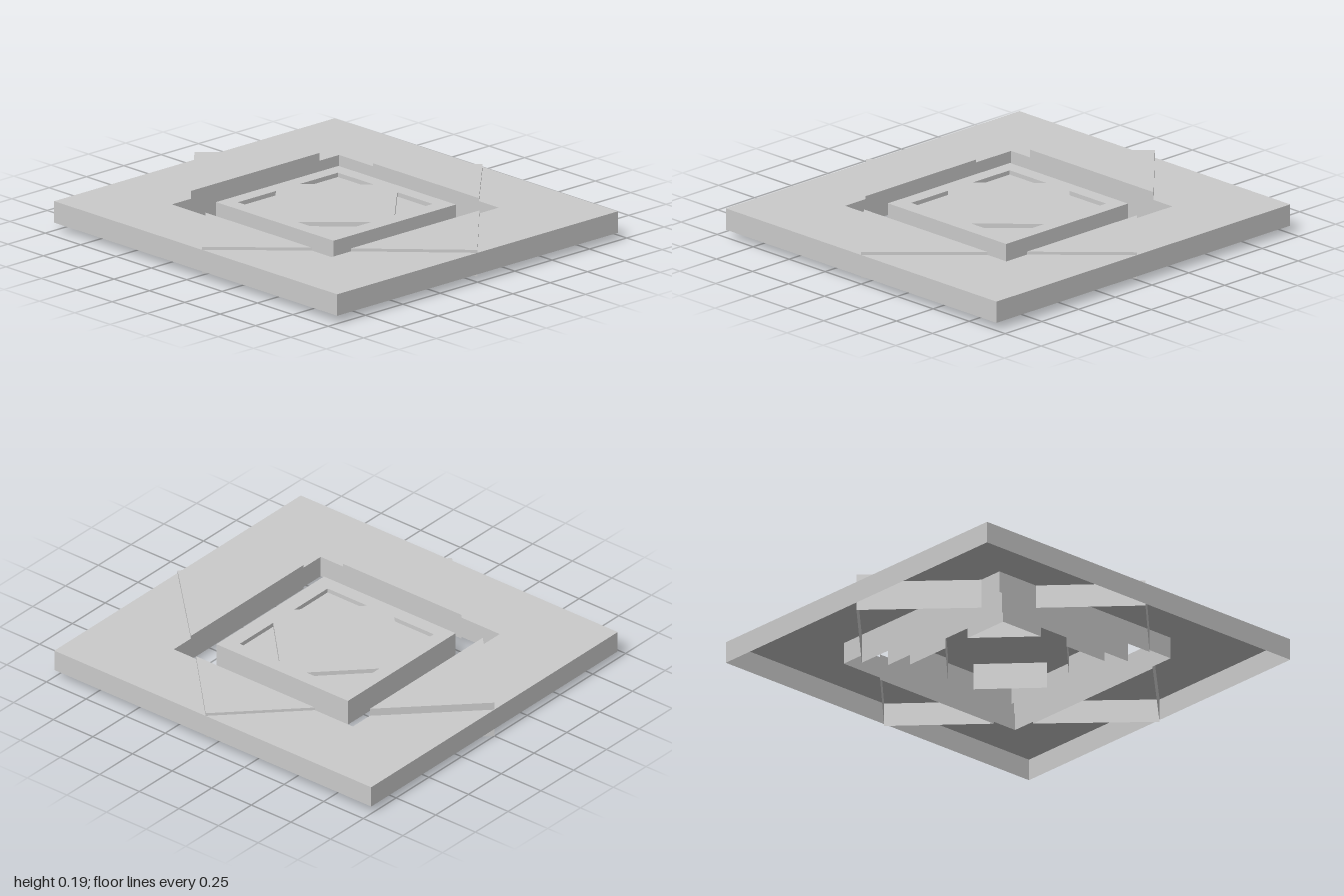
import * as THREE from 'three';
import { mergeGeometries } from 'three/addons/utils/BufferGeometryUtils.js';

const material = new THREE.MeshStandardMaterial({
  color: 0xcccccc, flatShading: true, side: THREE.DoubleSide,
});

// Points are [x, z]; shapes are drawn in (x, -z) and laid flat
const toVectors = (pts) => pts.map(([x, z]) => new THREE.Vector2(x, -z));

const rect = (x0, x1, z0, z1) => [[x0, z1], [x1, z1], [x1, z0], [x0, z0]];

function cap(outline, holes, y) {
  const shape = new THREE.Shape(toVectors(outline));
  holes.forEach((h) => shape.holes.push(new THREE.Path(toVectors(h))));
  return new THREE.ShapeGeometry(shape).rotateX(-Math.PI / 2).translate(0, y, 0);
}

// Upright wall panels along a closed outline, facing outward (or inward for holes)
function walls(points, y0, y1, isHole) {
  const ccw = THREE.ShapeUtils.area(toVectors(points)) > 0;
  const pts = ccw !== isHole ? points : [...points].reverse();
  return pts.map(([ax, az], i) => {
    const [bx, bz] = pts[(i + 1) % pts.length];
    return new THREE.PlaneGeometry(Math.hypot(bx - ax, bz - az), y1 - y0)
      .rotateY(Math.atan2(az - bz, bx - ax))
      .translate((ax + bx) / 2, (y0 + y1) / 2, (az + bz) / 2);
  });
}

// Tray turned upside down: top face and walls, open underneath
function shell(name, outline, holes, y0, y1) {
  const parts = [cap(outline, holes, y1), ...walls(outline, y0, y1, false)];
  holes.forEach((h) => parts.push(...walls(h, y0, y1, true)));
  const mesh = new THREE.Mesh(mergeGeometries(parts), material);
  mesh.name = name;
  return mesh;
}

export function createModel() {
  const model = new THREE.Group();
  model.name = 'squareOrnament';

  // Outer frame with a square opening
  model.add(shell('frame', rect(-1, 1, -0.94, 0.94), [rect(-0.57, 0.56, -0.56, 0.56)], 0.04, 0.15));

  // Triangles pointing outward from each side of the opening
  model.add(
    shell('rightTriangle', [[-1, 0], [-0.57, 0.43], [-0.57, -0.43]], [], 0, 0.19),
    shell('leftTriangle', [[1, 0], [0.56, -0.43], [0.56, 0.43]], [], 0.03, 0.165),
  );
  for (const s of [1, -1]) {
    model.add(shell(s > 0 ? 'frontTriangle' : 'backTriangle',
      [[0.045, 0.94 * s], [0.42, 0.56 * s], [-0.33, 0.56 * s]], [], 0.03, 0.165));
  }

  // Centre plate with a triangular recess in each corner
  const recesses = [];
  for (const sx of [1, -1]) {
    for (const sz of [1, -1]) {
      const corner = sx * 0.335 - 0.005, inner = sx * 0.085 - 0.005;
      recesses.push([[corner, 0.335 * sz], [inner, 0.335 * sz], [corner, 0.08 * sz]]);
    }
  }
  model.add(shell('centrePlate', rect(-0.415, 0.415, -0.41, 0.41), recesses, 0.03, 0.165));
  recesses.forEach((r) => {
    const floor = new THREE.Mesh(cap(r, [], 0.143), material);
    floor.name = 'recessFloor';
    model.add(floor);
  });

  return model;
}
